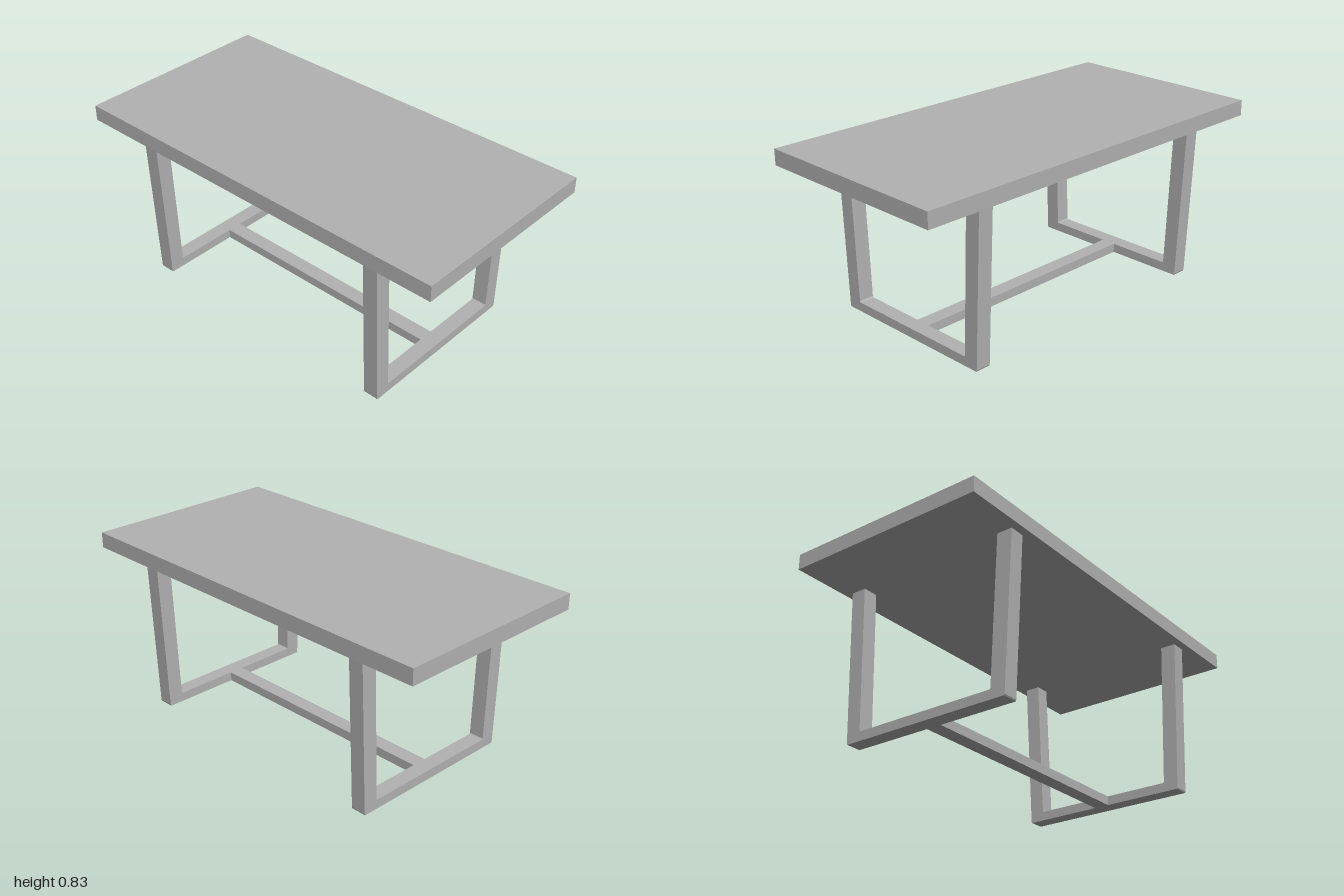
import * as THREE from 'three';

export function createModel() {
  const table = new THREE.Group();
  table.name = 'table';
  const grey = new THREE.MeshStandardMaterial({ color: 0xb2b2b2 });
  grey.name = 'plain grey';

  const TOP_Y = 0.757, TOP_H = 0.076;   // tabletop underside and thickness
  const BAR_H = 0.045, BAR_W = 0.075;   // floor bars
  const FRAME_X = 0.665;                // centre of each leg frame

  const add = (name, geometry, x, y, z) => {
    const mesh = new THREE.Mesh(geometry, grey);
    mesh.name = name;
    mesh.position.set(x, y, z);
    table.add(mesh);
  };

  // Flat slab top
  add('tabletop', new THREE.BoxGeometry(2, TOP_H, 1), 0, TOP_Y + TOP_H / 2, 0);

  // U-shaped leg frame: half outline (z, y), mirrored, with small chamfered corners
  const half = [
    [0.427, 0], [0.43, 0.006], [0.46, TOP_Y],
    [0.384, TOP_Y], [0.358, 0.05], [0.353, BAR_H],
  ];
  const outline = [...half, ...half.map(([z, y]) => [-z, y]).reverse()];
  const shape = new THREE.Shape(outline.map(([z, y]) => new THREE.Vector2(z, y)));
  const frame = new THREE.ExtrudeGeometry(shape, { depth: BAR_W, bevelEnabled: false });
  frame.translate(0, 0, -BAR_W / 2).rotateY(Math.PI / 2);
  add('leftLegFrame', frame, FRAME_X, 0, 0);
  add('rightLegFrame', frame, -FRAME_X, 0, 0);

  // Long floor stretcher joining the frames
  const length = 2 * FRAME_X - BAR_W;
  add('stretcher', new THREE.BoxGeometry(length, BAR_H, BAR_W), 0, BAR_H / 2, 0);

  return table;
}
